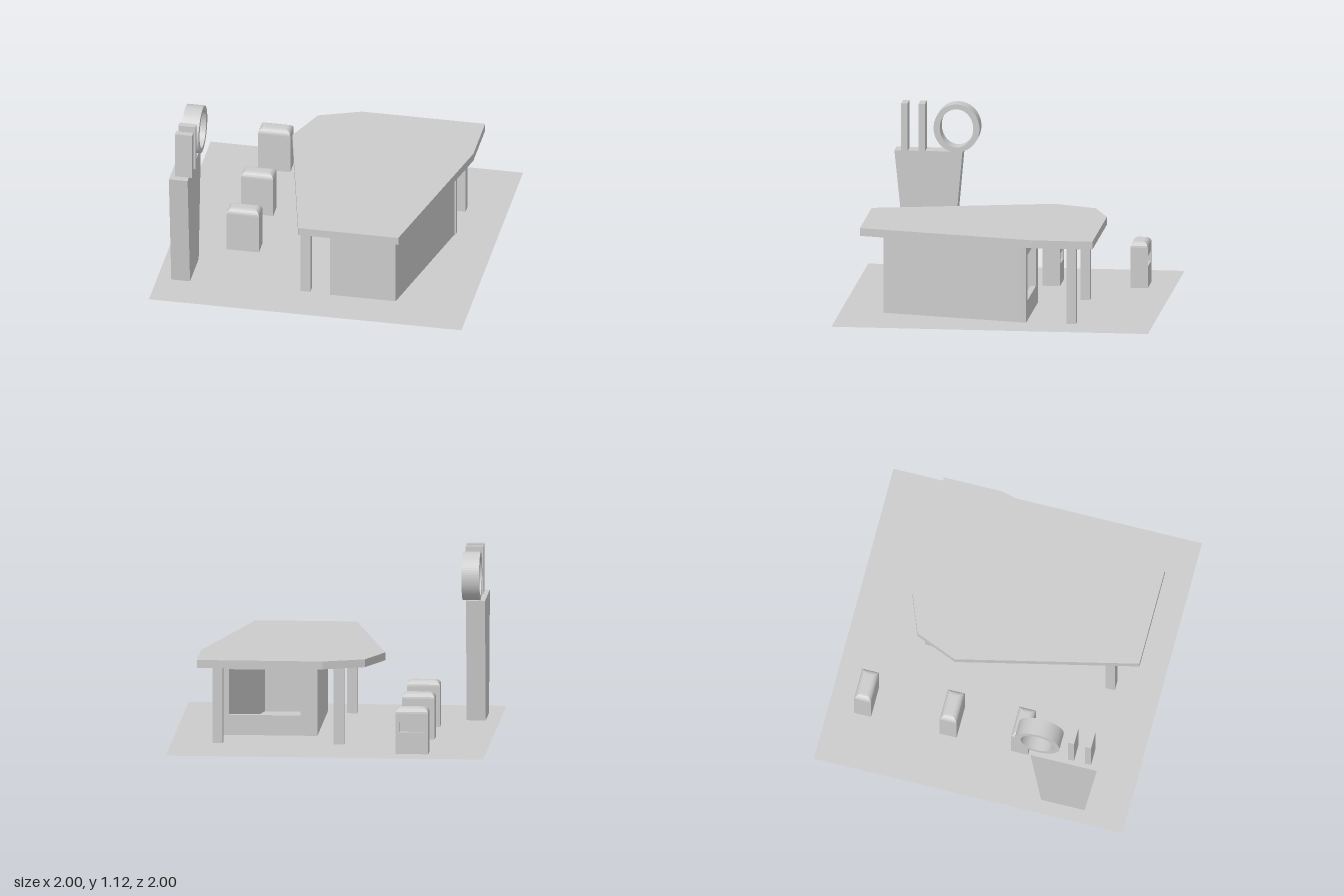
import * as THREE from 'three';

const material = new THREE.MeshStandardMaterial({ color: 0xcccccc, flatShading: true, side: THREE.DoubleSide });
const smooth = new THREE.MeshStandardMaterial({ color: 0xcccccc, side: THREE.DoubleSide });

const polygon = pts => new THREE.Shape(pts.map(p => new THREE.Vector2(...p)));
const extrude = (shape, depth, curveSegments = 12) =>
  new THREE.ExtrudeGeometry(shape, { depth, bevelEnabled: false, curveSegments });

// Vertical prism from an [x, z] outline
function prism(outline, y0, y1) {
  const g = extrude(polygon(outline.map(([x, z]) => [x, -z])), y1 - y0);
  return g.rotateX(-Math.PI / 2).translate(0, y0, 0);
}

// Prism along x from a shape drawn in (z, y)
function sideways(shape, x0, x1, segments) {
  const g = extrude(shape, x1 - x0, segments);
  return g.rotateY(-Math.PI / 2).translate(x1, 0, 0);
}

function box(x0, x1, y0, y1, z0, z1) {
  return new THREE.BoxGeometry(x1 - x0, y1 - y0, z1 - z0)
    .translate((x0 + x1) / 2, (y0 + y1) / 2, (z0 + z1) / 2);
}

// Fuel pump: box with rounded, mitred top and a display recess in its back face
function pumpGeometry() {
  const hx = 0.103, hz = 0.055, r = 0.036, steps = 5;
  const cols = [-hx, -0.08, -0.08, 0.08, 0.08, hx];
  const rows = [0.04, 0.18, 0.18, 0.245, 0.245, 0.299];
  const insets = rows.map(() => 0);
  for (let i = 1; i <= steps; i++) {
    const a = (i / steps) * Math.PI / 2;
    rows.push(0.299 + r * Math.sin(a));
    insets.push(r * (1 - Math.cos(a)));
  }
  const g = new THREE.BoxGeometry(1, 1, 1, cols.length - 1, rows.length - 1, 1);
  const p = g.attributes.position;
  for (let i = 0; i < p.count; i++) {
    const c = Math.round((p.getX(i) + 0.5) * (cols.length - 1));
    const j = Math.round((p.getY(i) + 0.5) * (rows.length - 1));
    const limit = hx - insets[j];
    const recessed = p.getZ(i) < 0 && (c === 2 || c === 3) && (j === 2 || j === 3);
    const z = Math.sign(p.getZ(i)) * (hz - insets[j]) + (recessed ? 0.025 : 0);
    p.setXYZ(i, THREE.MathUtils.clamp(cols[c], -limit, limit), rows[j], z);
  }
  g.computeVertexNormals();
  return g;
}

export function createModel() {
  const model = new THREE.Group();
  model.name = 'fuelStation';
  const add = (name, geometry, parent = model, mat = material) => {
    const mesh = new THREE.Mesh(geometry, mat);
    mesh.name = name;
    parent.add(mesh);
    return mesh;
  };

  // Forecourt slab
  add('ground', new THREE.PlaneGeometry(2, 2).rotateX(-Math.PI / 2).translate(0, 0.042, 0));

  // Kiosk: three solid walls and a back wall with a wide window
  const kiosk = new THREE.Group();
  kiosk.name = 'kiosk';
  model.add(kiosk);
  add('walls', prism([
    [0.103, -0.165], [0.103, 0.725], [0.525, 0.725], [0.727, -0.165],
    [0.691, -0.165], [0.497, 0.69], [0.138, 0.69], [0.138, -0.165],
  ], 0, 0.54), kiosk);
  const back = polygon([[0.103, 0], [0.735, 0], [0.735, 0.54], [0.103, 0.54]]);
  back.holes.push(polygon([[0.21, 0.17], [0.21, 0.46], [0.66, 0.46], [0.66, 0.17]]));
  add('windowWall', extrude(back, 0.035).translate(0, 0, -0.2), kiosk);

  // Angular canopy roof on three posts
  add('roof', prism([
    [0.04, -0.63], [0.83, -0.63], [0.83, -0.25], [0.57, 0.87],
    [-0.07, 0.87], [-0.33, -0.26], [-0.22, -0.53],
  ], 0.54, 0.59));
  for (const [x, z] of [[-0.055, -0.485], [0.708, -0.485], [-0.055, 0.685]])
    add('roofPost', box(x - 0.032, x + 0.032, 0.015, 0.54, z - 0.03, z + 0.03));

  // Row of pumps
  const pump = pumpGeometry();
  for (const z of [-0.778, -0.223, 0.24]) add('pump', pump).position.set(-0.538, 0, z);

  // Tapered pylon with a ring and two upright fins on top
  const pylon = new THREE.Group();
  pylon.name = 'pylon';
  model.add(pylon);
  add('pylonBody', sideways(
    polygon([[0.45, 0.035], [0.73, 0.035], [0.81, 0.815], [0.38, 0.815]]), -0.91, -0.79), pylon);
  const ring = new THREE.Shape().absellipse(0.415, 0.968, 0.145, 0.153, 0, Math.PI * 2);
  ring.holes.push(new THREE.Path().absellipse(0.415, 0.968, 0.106, 0.122, 0, Math.PI * 2));
  add('pylonRing', sideways(ring, -0.88, -0.77, 32), pylon, smooth);
  for (const z of [0.635, 0.745])
    add('pylonFin', box(-0.88, -0.77, 0.815, 1.12, z - 0.02, z + 0.02), pylon);

  return model;
}
